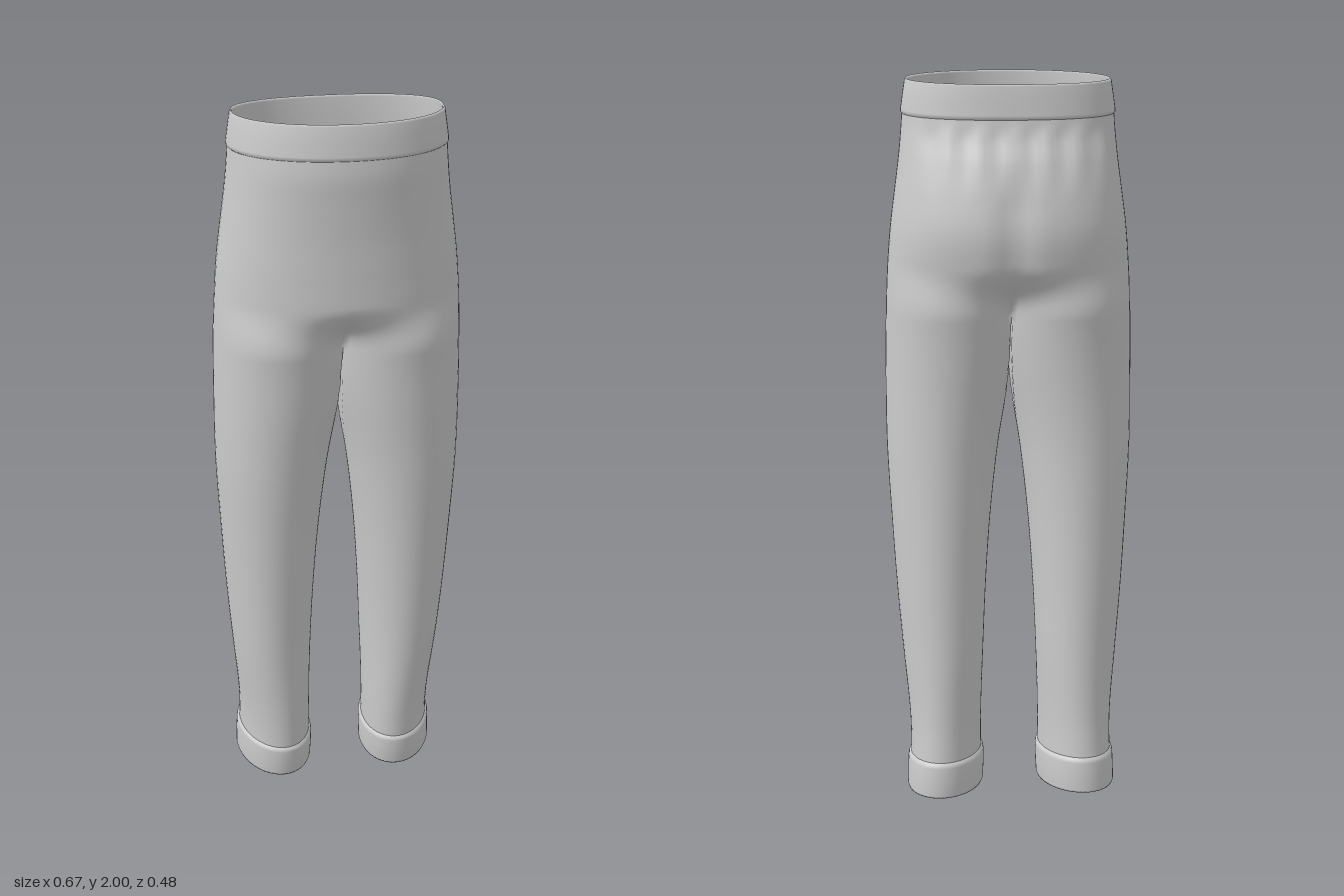
import * as THREE from 'three';
import { mergeGeometries, mergeVertices } from 'three/addons/utils/BufferGeometryUtils.js';

const { lerp, smoothstep } = THREE.MathUtils;
const CROTCH = 1.38, ARC = 44, INNER = 12;

// Height, inner x, outer x, front z, back z
const KEYS = [
  [0.00, 0.082, 0.292, 0.078, -0.205],
  [0.10, 0.084, 0.284, 0.086, -0.197],
  [0.20, 0.083, 0.284, 0.094, -0.190],
  [0.40, 0.076, 0.300, 0.110, -0.186],
  [0.60, 0.067, 0.315, 0.126, -0.183],
  [0.80, 0.053, 0.326, 0.143, -0.180],
  [1.00, 0.031, 0.335, 0.161, -0.179],
  [1.10, 0.016, 0.336, 0.170, -0.181],
  [1.20, 0.006, 0.335, 0.180, -0.186],
  [1.38, 0.000, 0.331, 0.198, -0.204],
  [1.48, 0.000, 0.326, 0.216, -0.224],
  [1.60, 0.000, 0.316, 0.222, -0.240],
  [1.70, 0.000, 0.303, 0.226, -0.226],
  [1.80, 0.000, 0.290, 0.234, -0.197],
  [1.87, 0.000, 0.283, 0.240, -0.168],
  [1.92, 0.000, 0.279, 0.238, -0.158],
  [2.00, 0.000, 0.271, 0.234, -0.155],
];
const track = new THREE.CubicInterpolant(KEYS.map(k => k[0]), KEYS.flatMap(k => k.slice(1)), 4);
const power = (v, e) => Math.sign(v) * Math.abs(v) ** e;

// Point on one leg; u 0..1 runs front-outside-back, 1..1.2 closes the inseam
function legPoint(u, y, grow = 0) {
  let [xi, xo, zf, zb] = track.evaluate(y);
  if (y >= CROTCH) xi = 0;
  const phi = THREE.MathUtils.degToRad(150 - 300 * u);
  const a = (xo - xi) / 2, b = (zf - zb) / 2;
  const flat = a * (1 + Math.cos(Math.PI * 5 / 6)) * smoothstep(y, 1.05, CROTCH);
  const raw = a * (1 + Math.cos(phi));
  let x = xi + Math.max(0, raw - flat) * 2 * a / (2 * a - flat);
  let z = (zf + zb) / 2 + b * Math.sin(phi);
  const low = 1 - smoothstep(y, 0.08, 0.5);
  x += grow * Math.cos(phi) - 0.016 * low * Math.sin(phi);
  z += grow * Math.sin(phi);
  return new THREE.Vector3(x, y + 0.025 * low * (1 - Math.sin(phi)) / 2, z);
}

// Point on one half of the hips, with the seat cleft and the gathers under the waistband
function hipPoint(u, y, grow = 0) {
  const [, w, zf, zb] = track.evaluate(y);
  const th = u * Math.PI, c = Math.cos(th), zc = 0.01;
  const x = (w + grow) * power(Math.sin(th), c < 0 ? 0.86 : 0.97);
  let z = c > 0 ? zc + (zf - zc + grow) * power(c, 0.97) : zc + (zc - zb + grow) * power(c, 0.86);
  if (c < 0) {
    const seat = smoothstep(y, 1.36, 1.5) * (1 - smoothstep(y, 1.65, 1.82));
    const gather = smoothstep(y, 1.68, 1.84) * (1 - smoothstep(y, 1.86, 1.91));
    z += 0.016 * seat * Math.exp(-((x / 0.04) ** 2)) - 0.006 * gather * c * c * Math.cos(x * 75);
  }
  const tilt = 0.02 * smoothstep(y, 1.6, 1.915) * (1 - c) / 2;
  const p = new THREE.Vector3(Math.sin(th) < 1e-9 ? 0 : x, y - tilt, z);
  return p.lerp(legPoint(u, y), 1 - smoothstep(y, CROTCH, 1.52));
}

// Surface through rows of points running downwards
function loft(rows, flip = false) {
  const n = rows[0].length, index = [];
  for (let i = 0; i < rows.length - 1; i++) for (let j = 0; j < n - 1; j++) {
    const a = i * n + j, b = a + 1, c = a + n, d = c + 1;
    index.push(...(flip ? [a, b, c, b, d, c] : [a, c, b, b, c, d]));
  }
  const g = new THREE.BufferGeometry().setFromPoints(rows.flat());
  g.setIndex(index);
  return g;
}
const mirror = (p, side) => { p.x *= side; return p; };
const steps = (n, from, to) => Array.from({ length: n + 1 }, (_, i) => lerp(from, to, i / n));

function hipRow(y, grow) {
  const us = steps(ARC, 0, 1);
  return [...us.map(u => hipPoint(u, y, grow)),
    ...us.reverse().slice(1).map(u => mirror(hipPoint(u, y, grow), -1))];
}
function legRow(y, side, grow) {
  const us = [...steps(ARC, 0, 1), ...steps(INNER, 1, 1.2).slice(1)];
  return us.map(u => mirror(legPoint(u, y, grow), side));
}

export function createModel() {
  const group = new THREE.Group();
  const material = new THREE.MeshStandardMaterial({ color: 0xcccccc, side: THREE.DoubleSide });
  const add = (name, parts) => {
    const geometry = mergeVertices(mergeGeometries(parts), 1e-4);
    geometry.computeVertexNormals();
    const mesh = new THREE.Mesh(geometry, material);
    mesh.name = name;
    group.add(mesh);
  };

  // Hips and both legs as one continuous cloth
  const hips = loft(steps(40, 1.915, CROTCH).map(y => hipRow(y)));
  const legs = [1, -1].map(side =>
    loft(steps(64, CROTCH, 0.105).map(y => legRow(y, side)), side < 0));
  add('trousers', [hips, ...legs]);

  // Waistband with a turned-in rim
  const band = [[1.908, -0.004], [1.914, 0.003], [1.922, 0.004], [1.96, 0.002], [1.994, 0],
    [2.0, -0.003], [1.994, -0.007], [1.92, -0.007]];
  add('waistband', [loft(band.map(([y, g]) => hipRow(y, g)))]);

  // Ankle cuffs with turned-in hems
  const cuff = [[0.106, -0.004], [0.1, 0.005], [0.09, 0.007], [0.05, 0.006], [0.008, 0.003],
    [0.001, 0], [0.008, -0.004], [0.09, -0.004]];
  for (const side of [1, -1]) {
    add(side > 0 ? 'leftCuff' : 'rightCuff',
      [loft(cuff.map(([y, g]) => legRow(y, side, g)), side < 0)]);
  }
  return group;
}
